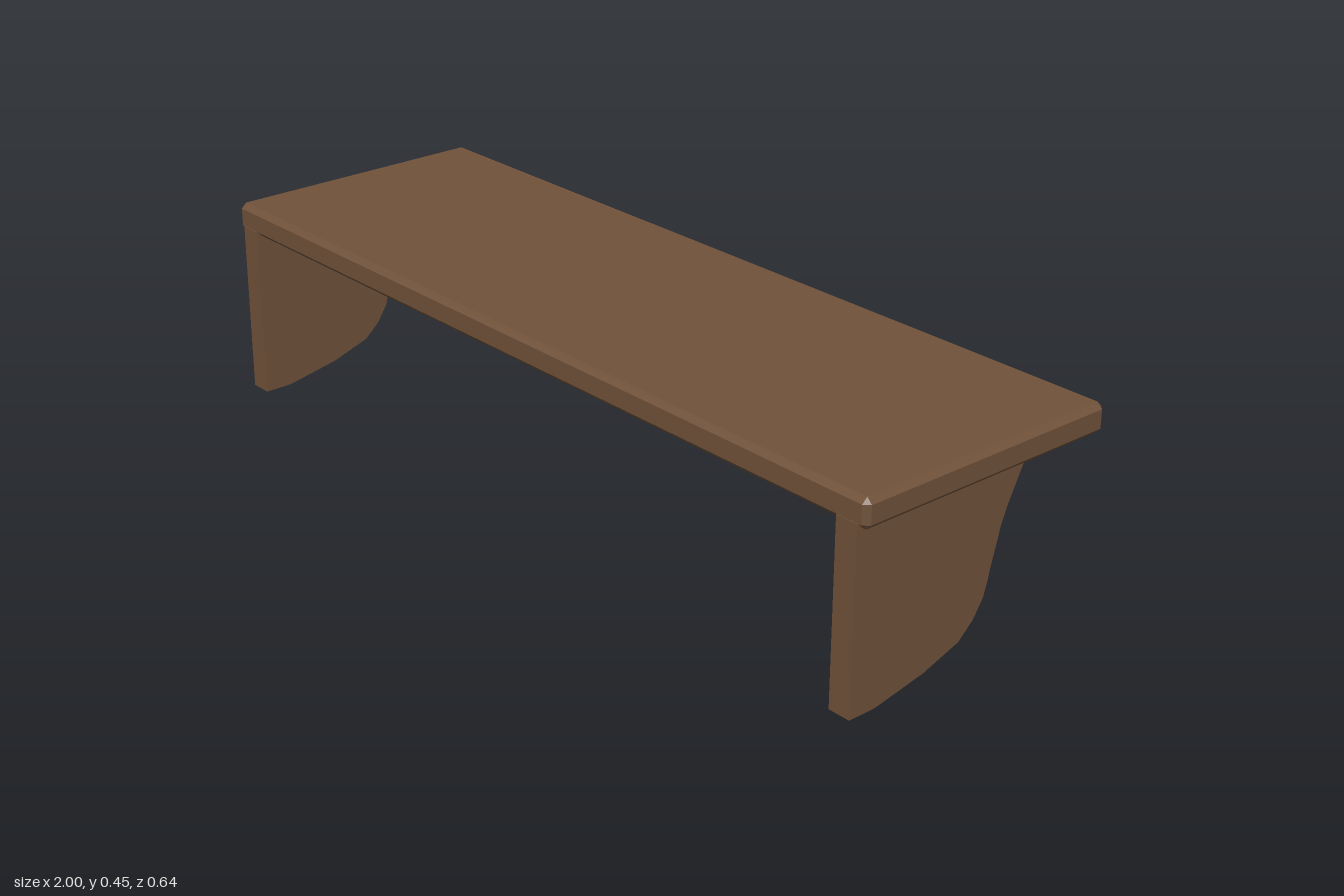
import * as THREE from 'three';
import { ConvexGeometry } from 'three/addons/geometries/ConvexGeometry.js';

// Box with every edge cut at 45 degrees
function chamferedBox(w, h, d, c) {
  const points = [];
  for (const sx of [-1, 1]) for (const sy of [-1, 1]) for (const sz of [-1, 1]) {
    for (let face = 0; face < 3; face++) {
      const inset = [c, c, c];
      inset[face] = 0;
      points.push(new THREE.Vector3(
        sx * (w / 2 - inset[0]), sy * (h / 2 - inset[1]), sz * (d / 2 - inset[2])));
    }
  }
  return new ConvexGeometry(points);
}

export function createModel() {
  const model = new THREE.Group();
  model.name = 'wallShelf';
  const wood = new THREE.MeshStandardMaterial({ color: 0x70523a });
  wood.name = 'brown wood';

  // Shelf board
  const board = new THREE.Mesh(chamferedBox(2, 0.064, 0.637, 0.012), wood);
  board.name = 'shelfBoard';
  board.position.y = 0.416;
  model.add(board);

  // Bracket profile as (z, y): straight on one side, curved on the other
  const profile = [
    [0.32, 0], [0.32, 0.396], [-0.118, 0.396], [-0.118, 0.384], [-0.077, 0.302],
    [-0.062, 0.264], [-0.051, 0.222], [-0.041, 0.187], [-0.035, 0.16], [-0.025, 0.127],
    [0, 0.089], [0.037, 0.056], [0.128, 0.025], [0.25, 0.001], [0.26, 0],
  ].map(([z, y]) => new THREE.Vector2(z, y));
  const thickness = 0.052;
  const bracketGeometry = new THREE.ExtrudeGeometry(new THREE.Shape(profile), {
    depth: thickness, bevelEnabled: false,
  });
  bracketGeometry.translate(0, 0, -thickness / 2);
  bracketGeometry.rotateY(-Math.PI / 2);

  // One bracket near each end
  for (const side of [-1, 1]) {
    const bracket = new THREE.Mesh(bracketGeometry, wood);
    bracket.name = side > 0 ? 'leftBracket' : 'rightBracket';
    bracket.position.x = side * 0.954;
    model.add(bracket);
  }
  return model;
}
